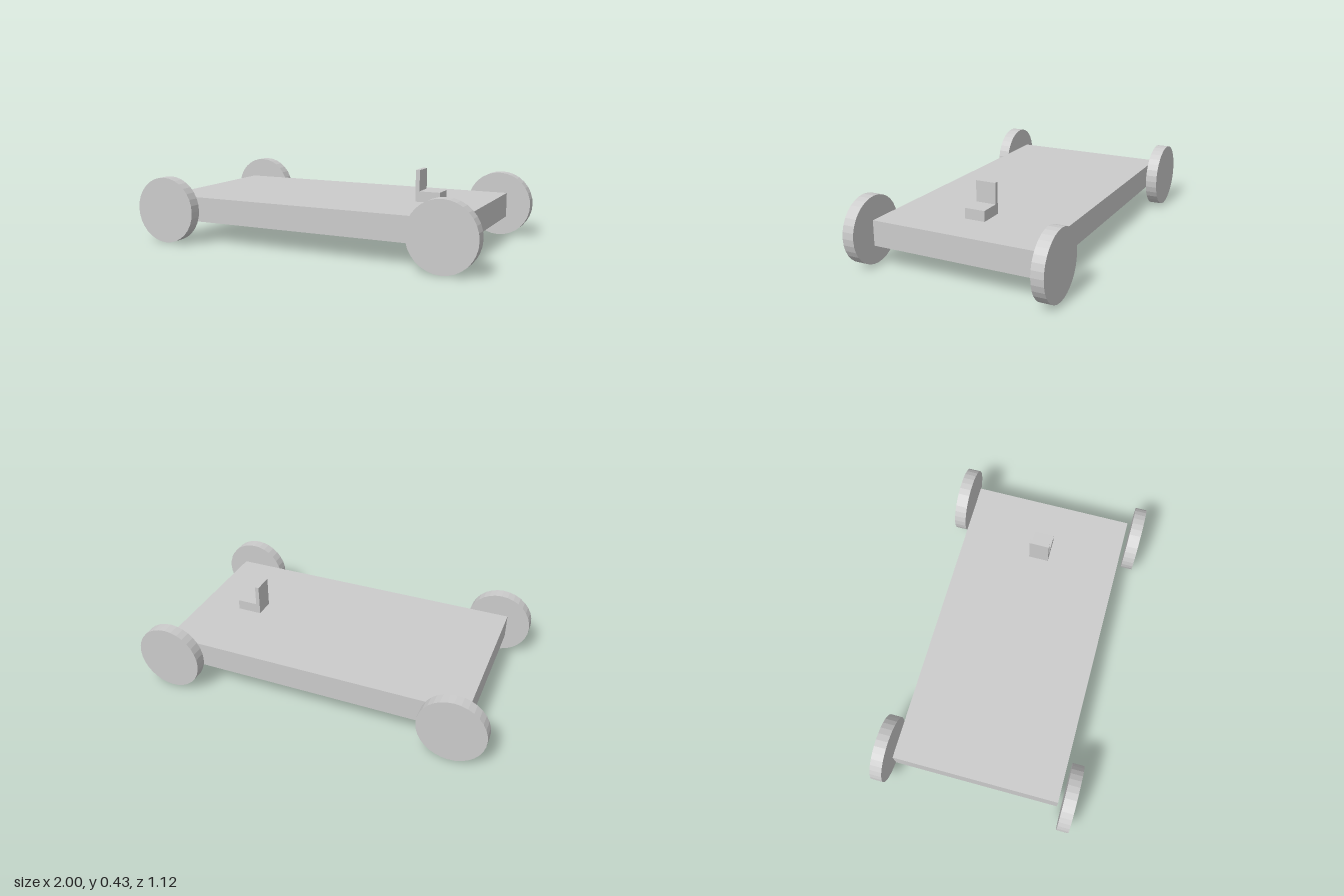
import * as THREE from 'three';

export function createModel() {
  const model = new THREE.Group();
  const material = new THREE.MeshStandardMaterial({ color: 0xcccccc, flatShading: true });

  function add(name, geometry, x, y, z) {
    const mesh = new THREE.Mesh(geometry, material);
    mesh.name = name;
    mesh.position.set(x, y, z);
    model.add(mesh);
  }

  // Flat platform
  add('platform', new THREE.BoxGeometry(1.738, 0.139, 0.929), 0, 0.1875, 0.0035);

  // L-shaped seat with its backrest, extruded across the platform
  const profile = new THREE.Shape([
    [0.497, 0.257], [0.636, 0.257], [0.636, 0.315],
    [0.52, 0.315], [0.52, 0.431], [0.497, 0.431],
  ].map(([x, y]) => new THREE.Vector2(x, y)));
  add('seat', new THREE.ExtrudeGeometry(profile, { depth: 0.114, bevelEnabled: false }), 0, 0, -0.053);

  // Four disc wheels standing just clear of the platform sides
  const radius = 0.185;
  const wheel = new THREE.CylinderGeometry(radius, radius, 0.067, 32).rotateX(Math.PI / 2);
  const wheels = [
    ['frontLeftWheel', 1, 0.527],
    ['frontRightWheel', -1, 0.527],
    ['backLeftWheel', 1, -0.527],
    ['backRightWheel', -1, -0.52],
  ];
  for (const [name, side, z] of wheels) add(name, wheel, side * (1 - radius), radius, z);

  return model;
}
